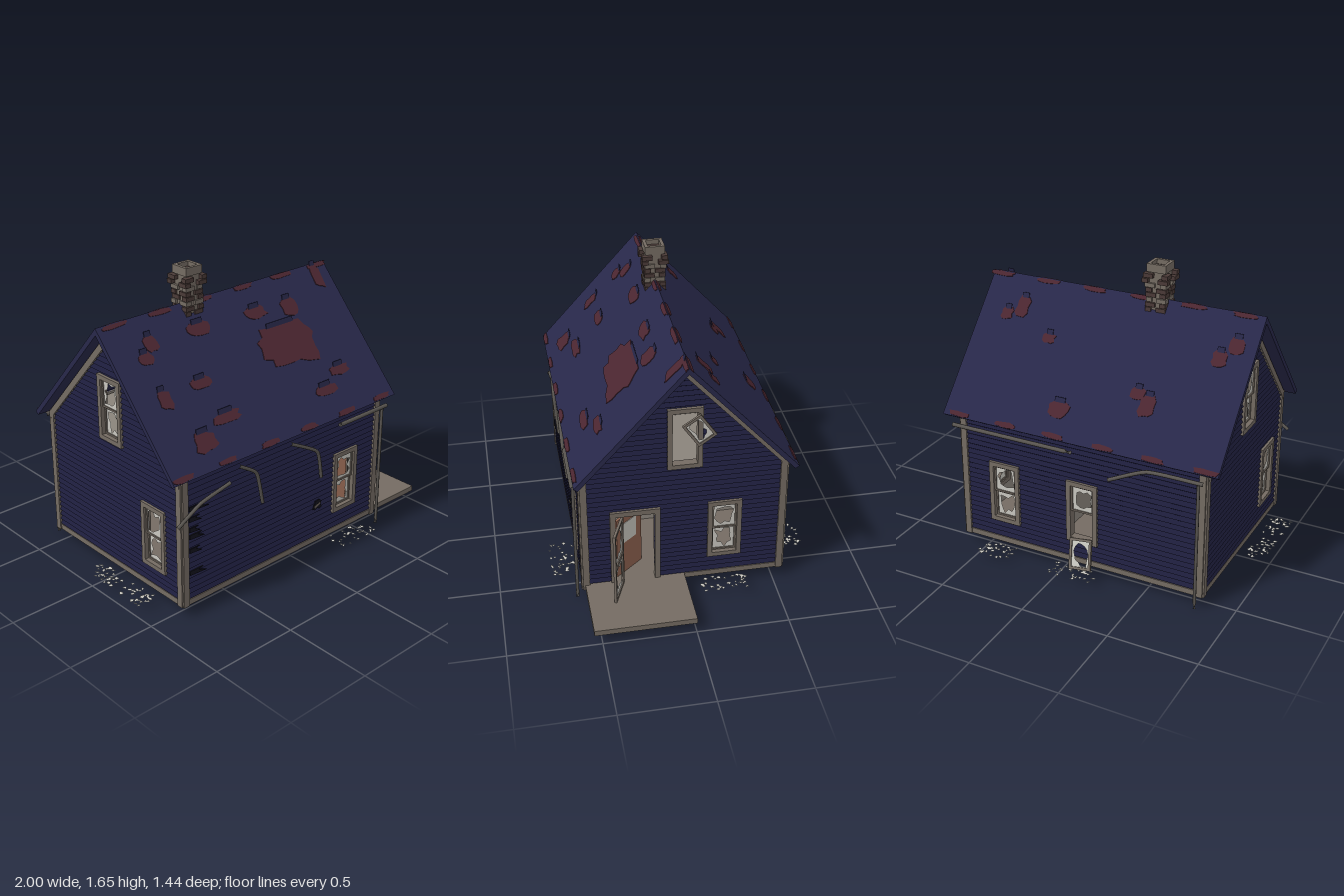
import * as THREE from 'three';
import { mergeGeometries } from 'three/addons/utils/BufferGeometryUtils.js';

const mat = (name, color, side = THREE.FrontSide) => {
  const m = new THREE.MeshStandardMaterial({ color, side });
  m.name = name;
  return m;
};

export function createModel() {
  const siding = mat('siding blue', 0x1d1d3c), roofing = mat('roof blue', 0x28284a);
  const trim = mat('weathered trim', 0x746b62), bare = mat('bare red roof', 0x4b2630, THREE.DoubleSide);
  const metal = mat('gutter metal', 0x595550), glass = mat('broken glass', 0xc9c7c0, THREE.DoubleSide);
  const wood = mat('door wood', 0x8f6350), brick = mat('dark brick', 0x4a3a37);
  const crack = mat('crack black', 0x12121c), plaster = mat('plaster', 0x8a837b);

  let seed = 7;
  const rand = (a = 0, b = 1) => {
    seed = (seed * 16807) % 2147483647;
    return a + (b - a) * seed / 2147483647;
  };
  const model = new THREE.Group();
  model.name = 'abandonedHouse';
  const add = (parent, name, geo, m, x = 0, y = 0, z = 0) => {
    const mesh = new THREE.Mesh(geo, m);
    mesh.name = name;
    mesh.position.set(x, y, z);
    parent.add(mesh);
    return mesh;
  };
  const group = (parent, name, x = 0, y = 0, z = 0) => {
    const g = new THREE.Group();
    g.name = name;
    g.position.set(x, y, z);
    parent.add(g);
    return g;
  };
  const box = (w, h, d) => new THREE.BoxGeometry(w, h, d);
  const poly = pts => new THREE.Shape(pts.map(p => new THREE.Vector2(p[0], p[1])));
  const rect = (w, h, x = 0, y = 0) => poly([[x - w / 2, y - h / 2], [x + w / 2, y - h / 2], [x + w / 2, y + h / 2], [x - w / 2, y + h / 2]]);
  const extrude = (shape, depth) => new THREE.ExtrudeGeometry(shape, { depth, bevelEnabled: false });
  // irregular polygon filling roughly a w by h box
  const jagged = (w, h, n, lo, hi) => poly(Array.from({ length: n }, (_, i) => {
    const a = i / n * Math.PI * 2, c = Math.cos(a), s = Math.sin(a);
    const k = rand(lo, hi) / Math.max(Math.abs(c), Math.abs(s));
    return [c * k * w / 2, s * k * h / 2];
  }));
  const frame = (w, h, t, d) => {
    const s = rect(w, h);
    s.holes.push(rect(w - 2 * t, h - 2 * t));
    return extrude(s, d);
  };

  // glazed sash with a smashed pane
  const sash = (parent, name, w, h, t, x, y, z) => {
    const g = group(parent, name, x, y, z);
    add(g, 'sashFrame', frame(w, h, t, 0.014), trim);
    const pane = rect(w - 2 * t, h - 2 * t);
    pane.holes.push(jagged(w - 2 * t, h - 2 * t, 13, 0.45, 0.95));
    add(g, 'brokenPane', new THREE.ShapeGeometry(pane), glass, 0, 0, 0.007);
    return g;
  };
  const windowUnit = (parent, o, upper = true, lower = true) => {
    const w = o.w, h = o.y1 - o.y0, g = group(parent, 'window', o.u, (o.y0 + o.y1) / 2, 0);
    add(g, 'windowCasing', frame(w + 0.05, h + 0.05, 0.026, 0.045), trim, 0, 0, -0.025);
    if (upper) sash(g, 'upperSash', w, h / 2, 0.01, 0, h / 4, -0.006);
    if (lower) sash(g, 'lowerSash', w, h / 2, 0.01, 0, -h / 4, -0.018);
  };

  // wall with clapboards laid around its openings; local x runs along the wall, +z is outward
  const EAVE = 0.8, APEX = 1.4, HALF = 0.545, ROW = 0.03;
  const outline = (half, gable) => poly([[-half, 0.06], [half, 0.06], [half, EAVE], ...(gable ? [[0, APEX]] : []), [-half, EAVE]]);
  const wall = (name, half, gable, openings, x, z, rot) => {
    const g = group(model, name, x, 0, z);
    g.rotation.y = rot;
    const s = outline(half, gable);
    for (const o of openings) s.holes.push(rect(o.w, o.y1 - o.y0, o.u, (o.y0 + o.y1) / 2));
    add(g, 'sheathing', extrude(s, 0.01), siding, 0, 0, -0.01);
    add(g, 'innerWall', extrude(s, 0.01), plaster, 0, 0, -0.0201);
    const boards = [], profile = poly([[0, 0], [-0.012, 0.008], [0, ROW]]);
    for (let y = 0.09; y < (gable ? 1.36 : 0.78); y += ROW) {
      const top = y + ROW, hw = top > EAVE && gable ? (APEX - top) * HALF / (APEX - EAVE) : half;
      let start = -hw;
      const lay = end => {
        if (end - start > 0.005) boards.push(extrude(profile, end - start).rotateY(Math.PI / 2).translate(start, y, 0));
      };
      for (const o of openings.filter(o => o.y0 < top && o.y1 > y).sort((a, b) => a.u - b.u)) {
        lay(o.u - o.w / 2);
        start = o.u + o.w / 2;
      }
      lay(hw);
    }
    add(g, 'clapboards', mergeGeometries(boards), siding);
    for (const k of [-1, 1]) {
      add(g, 'cornerBoard', box(0.036, EAVE - 0.06, 0.02), trim, k * (half - 0.01), (EAVE + 0.06) / 2, 0.007);
      if (gable) {
        const rake = poly([[k * HALF, EAVE], [0, APEX], [0, APEX - 0.05], [k * HALF, EAVE - 0.05]]);
        add(g, 'rakeBoard', extrude(rake, 0.018), trim);
      }
    }
    return g;
  };
  const win = (u, y0 = 0.22, y1 = 0.535) => ({ u, y0, y1, w: 0.135 });
  const fw = [win(0.46)], bw = [win(-0.46), win(0.02)];
  const attic = win(0, 0.825, 1.14);
  const door = { u: -0.265, y0: 0.09, y1: 0.53, w: 0.21 };
  const rw = [door, win(0.22), attic], lw = [win(0.33), attic];
  const front = wall('frontWall', 0.72, false, fw, -0.1, HALF, 0);
  const back = wall('backWall', 0.72, false, bw, -0.1, -HALF, Math.PI);
  const right = wall('doorGable', HALF, true, rw, 0.62, 0, Math.PI / 2);
  const left = wall('rearGable', HALF, true, lw, -0.82, 0, -Math.PI / 2);
  windowUnit(front, fw[0]);
  windowUnit(back, bw[0]);
  windowUnit(back, bw[1], true, false);
  windowUnit(right, rw[1]);
  windowUnit(right, attic, false, false);
  lw.forEach(o => windowUnit(left, o));
  // loose sashes: one hanging in the gable, one leaning on the back wall
  sash(right, 'hangingSash', 0.115, 0.155, 0.014, 0.07, 1.04, 0.028).rotation.z = 0.6;
  const fallen = sash(back, 'fallenSash', 0.13, 0.17, 0.014, 0.03, 0.145, 0.045);
  fallen.rotation.set(-0.35, 0, 0.12);

  // doorway, wooden door ajar, and open screen door
  const casing = rect(0.27, 0.47);
  casing.holes.push(rect(0.21, 0.44, 0, -0.015));
  add(right, 'doorCasing', extrude(casing, 0.045), trim, door.u, 0.325, -0.025);
  const inner = group(model, 'woodenDoor', 0.59, 0.28, 0.365);
  inner.rotation.y = Math.PI / 2 + 0.7;
  add(inner, 'doorLeaf', box(0.2, 0.38, 0.014), wood, 0.1, 0, 0);
  for (const k of [-1, 1]) add(inner, 'doorPane', box(0.11, 0.13, 0.004), glass, 0.1, 0.08, k * 0.008);
  const screen = group(model, 'screenDoor', 0.635, 0.31, 0.335);
  screen.rotation.y = -0.38;
  for (const k of [-1, 1]) sash(screen, 'screenDoorPanel', 0.18, 0.225, 0.017, 0.09, k * 0.108, -0.007);

  // floor, porch and inside partitions
  add(model, 'floorSlab', box(1.46, 0.032, 1.11), trim, -0.1, 0.076, 0);
  add(model, 'porchSlab', box(0.38, 0.032, 0.545), trim, 0.81, 0.076, 0.27);
  add(model, 'atticFloor', box(1.38, 0.015, 1.03), plaster, -0.1, 0.785, 0);
  const part = outline(0.52, true);
  add(model, 'partition', extrude(part, 0.015).rotateY(Math.PI / 2), plaster, 0.1, 0, 0);

  // roof
  const roof = poly([[0.59, 0.8], [0, 1.45], [-0.59, 0.8], [-0.568, 0.785], [0, 1.412], [0.568, 0.785]]);
  add(model, 'roof', extrude(roof, 1.62).rotateY(Math.PI / 2), roofing, -0.9, 0, 0);
  const LEN = Math.hypot(0.65, 0.59), SIN = 0.65 / LEN;
  // patches: x, y, width, height seen level
  const frontPatches = [[0.19, 1.15, 0.44, 0.2], [-0.64, 1.33, 0.09, 0.08], [-0.71, 1.28, 0.1, 0.06], [-0.72, 1.11, 0.09, 0.09],
    [-0.47, 1.125, 0.15, 0.05], [-0.32, 1.33, 0.16, 0.06], [0.08, 1.32, 0.16, 0.06], [0.32, 1.3, 0.12, 0.09], [0.62, 1.39, 0.08, 0.12],
    [-0.61, 0.91, 0.16, 0.09], [-0.42, 0.97, 0.2, 0.05], [0.27, 0.925, 0.18, 0.05], [0.43, 0.985, 0.15, 0.05]];
  const backPatches = [[-0.42, 1.01, 0.1, 0.1], [-0.35, 1.05, 0.09, 0.06], [0.06, 0.92, 0.14, 0.08], [-0.79, 1.31, 0.1, 0.08], [-0.72, 1.25, 0.09, 0.07],
    [0.25, 1.2, 0.08, 0.05], [0.47, 1.31, 0.09, 0.1], [0.55, 1.27, 0.08, 0.06]];
  for (const [k, patches] of [[1, frontPatches], [-1, backPatches]]) {
    const turn = group(model, k > 0 ? 'frontRoofDamage' : 'backRoofDamage');
    turn.rotation.y = k > 0 ? 0 : Math.PI;
    const slope = group(turn, 'roofSlope', 0, 1.45, 0);
    slope.rotation.x = -Math.atan2(0.59, 0.65);
    for (const [x, y, w, h] of patches) {
      const d = (y - 1.45) / SIN, hh = h / SIN;
      add(slope, 'barePatch', extrude(jagged(w, hh, w > 0.3 ? 26 : 12, 0.7, 1), 0.004), bare, k * x, d, 0);
      add(slope, 'curledShingle', box(w * 0.45, 0.03, 0.004), roofing, k * x, d + hh * 0.5, 0.009).rotation.x = 0.5;
    }
    // missing pieces along eave and ridge
    for (let i = 0; i < 6; i++) {
      const x = -0.83 + i * 0.29;
      add(slope, 'eavePatch', extrude(jagged(0.14, 0.035, 10, 0.7, 1), 0.004), bare, k * x, -LEN + 0.018, 0);
      add(slope, 'ridgePatch', extrude(jagged(0.16, 0.03, 10, 0.7, 1), 0.004), bare, k * (x + 0.04), -0.016, 0);
    }
  }

  // chimney with uneven quoin bricks
  const chimney = group(model, 'chimney', -0.3, 0, 0);
  add(chimney, 'chimneyCore', box(0.096, 0.3, 0.096), trim, 0, 1.47, 0);
  for (let i = 0; i < 10; i++) {
    const y = 1.345 + i * 0.027, out = i > 7 ? 0.014 : 0;
    for (const a of [-1, 1]) for (const b of [-1, 1]) {
      const long = (i % 2 === 0) === (a * b > 0);
      const w = long ? 0.056 : 0.034, d = long ? 0.034 : 0.056, e = 0.058 + out + rand(-0.004, 0.004);
      add(chimney, 'chimneyBrick', box(w, 0.023, d), i % 3 === 1 ? trim : brick, a * (e - w / 2), y, b * (e - d / 2));
    }
  }
  add(chimney, 'chimneyCap', frame(0.11, 0.11, 0.018, 0.045).rotateX(-Math.PI / 2), trim, 0, 1.605, 0);
  add(chimney, 'flueOpening', box(0.076, 0.004, 0.076), brick, 0, 1.622, 0);

  // gutters and downspouts, some torn loose
  const pipe = (name, r, ...pts) => add(model, name, new THREE.TubeGeometry(
    new THREE.CatmullRomCurve3(pts.map(p => new THREE.Vector3(...p)), false, 'catmullrom', 0.25), 16, r, 7), metal);
  pipe('frontDownspout', 0.009, [0.62, 0, 0.585], [0.62, 0.76, 0.585]);
  pipe('backDownspout', 0.009, [-0.8, 0, -0.592], [-0.8, 0.76, -0.592]);
  pipe('frontGutter', 0.012, [0.27, 0.755, 0.59], [0.65, 0.755, 0.59]);
  pipe('backGutter', 0.012, [-0.08, 0.755, -0.6], [0.65, 0.755, -0.6]);
  pipe('saggingBackGutter', 0.011, [-0.83, 0.755, -0.6], [-0.52, 0.75, -0.6], [-0.3, 0.65, -0.6]);
  pipe('hangingGutterA', 0.01, [-0.47, 0.76, 0.58], [-0.35, 0.68, 0.585], [-0.29, 0.48, 0.57]);
  pipe('hangingGutterB', 0.01, [-0.1, 0.76, 0.58], [0.1, 0.65, 0.585], [0.155, 0.47, 0.57]);
  pipe('looseGutter', 0.01, [-0.87, 0.55, 0.57], [-0.72, 0.64, 0.575], [-0.52, 0.68, 0.57]);

  // splits in the front clapboards near the corner, and a small hole
  for (const [y, w] of [[0.25, 0.11], [0.38, 0.08], [0.46, 0.1], [0.5, 0.07], [0.56, 0.08], [0.62, 0.13]])
    add(model, 'splitBoard', extrude(poly([[0, -0.012], [w, -0.018], [w * 0.5, 0.003], [w * 0.8, 0.012], [0, 0.012]]), 0.006), crack, -0.785, y, 0.556);
  add(model, 'sidingHole', extrude(jagged(0.075, 0.07, 12, 0.5, 1), 0.006), crack, 0.14, 0.295, 0.556);
  add(model, 'holeSplinter', box(0.045, 0.01, 0.006), trim, 0.14, 0.295, 0.563).rotation.z = 0.4;

  // glass shards lying below the windows: centre and spread
  const shards = [];
  for (const [x, z, sx, sz] of [[0.36, 0.64, 0.15, 0.07], [0.37, -0.65, 0.1, 0.07], [-0.12, -0.65, 0.14, 0.07],
    [-0.93, 0.03, 0.06, 0.12], [-0.93, 0.3, 0.06, 0.1], [0.71, -0.22, 0.06, 0.14]])
    for (let i = 0; i < 34; i++)
      shards.push(new THREE.ShapeGeometry(jagged(0.036, 0.028, 4, 0.35, 1)).rotateX(-Math.PI / 2).rotateY(rand(0, 6))
        .translate(x + rand(-sx, sx) * 0.95, 0.061, z + rand(-sz, sz) * 0.95));
  add(model, 'glassShards', mergeGeometries(shards), glass);
  return model;
}
